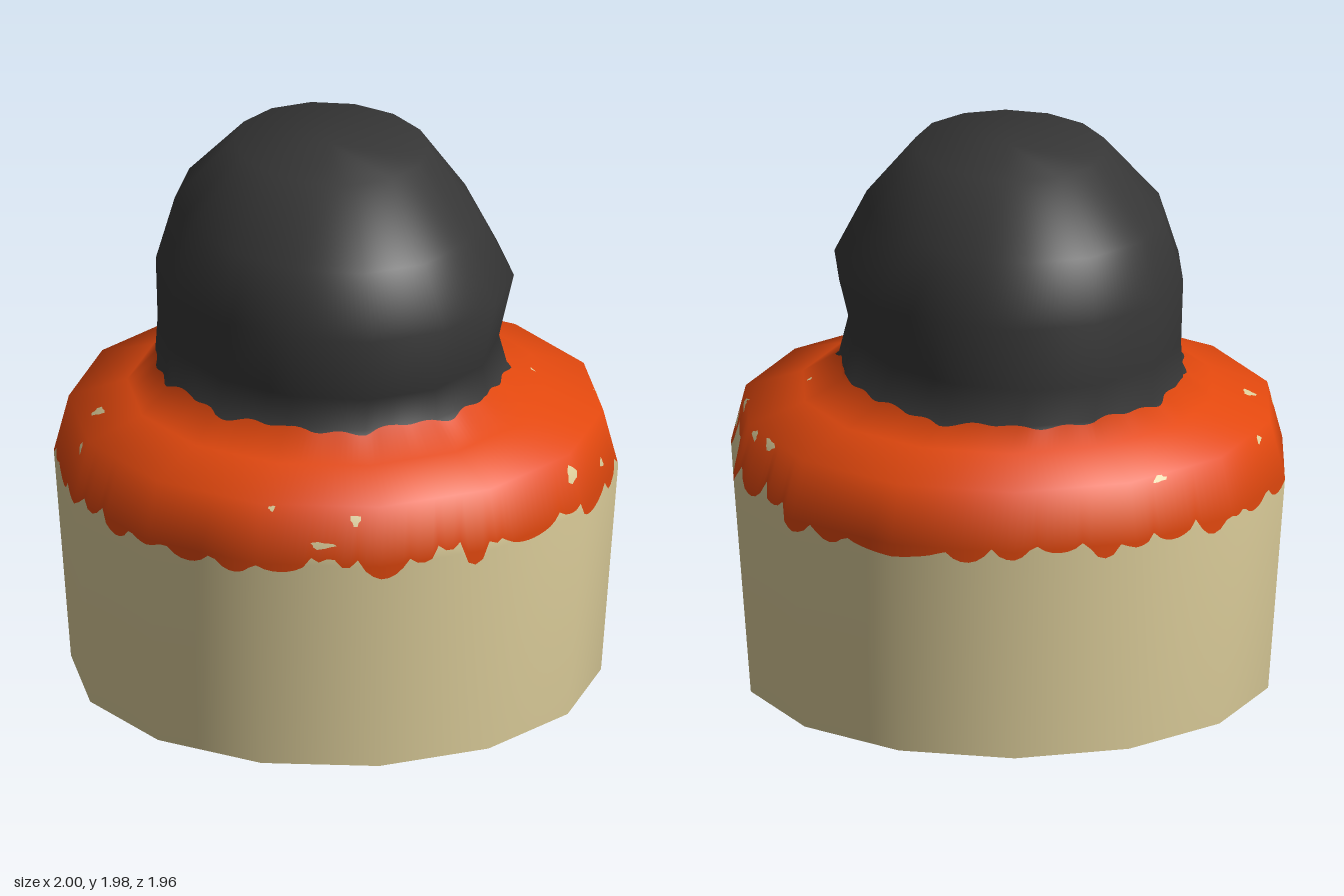
import * as THREE from 'three';

const SIDES = 14, SUB = 16, COLS = SIDES * SUB;
const TURN = 1.9 * Math.PI / 180;

// Cross-section rings: y, centre x, radius x, centre z, radius z
const RINGS = [
  [0, 0, 0.938, 0, 0.943],
  [0.79, 0, 1.0, 0, 1.0],
  [1.0, 0, 0.945, 0, 0.953],
  [1.07, 0, 0.74, 0, 0.74],
  [1.155, 0, 0.615, -0.04, 0.665],
  [1.29, -0.02, 0.585, -0.022, 0.69],
  [1.52, 0, 0.618, -0.01, 0.705],
  [1.75, -0.02, 0.522, -0.025, 0.63],
  [1.98, 0, 0.338, -0.04, 0.383],
];
const TOP = RINGS.length - 1;

// Icing drips: start angle from the front towards the left side, lowest y, highest y
const DRIPS = [
  [-72, 0.77, 0.8], [-62, 0.745, 0.81], [-51, 0.74, 0.81], [-41, 0.76, 0.8], [-30, 0.8, 0.85],
  [-25, 0.78, 0.85], [-19, 0.74, 0.81], [-9, 0.78, 0.83], [-2, 0.81, 0.84], [3, 0.74, 0.82],
  [9, 0.81, 0.83], [13, 0.77, 0.83], [30, 0.8, 0.83], [37, 0.74, 0.8], [53, 0.74, 0.83],
  [60, 0.79, 0.86], [68, 0.89, 0.92], [80, 0.78, 0.89], [90, 0.78, 0.87], [101, 0.8, 0.83],
  [109, 0.745, 0.81], [119, 0.74, 0.81], [128, 0.745, 0.78], [150, 0.74, 0.81],
];
for (let i = 0, a = 160; a < 285; i++) {
  DRIPS.push([a, 0.76 + 0.02 * Math.sin(i * 2.3), 0.82 + 0.02 * Math.sin(i * 1.7)]);
  a += 9 + 3 * Math.sin(i * 1.9);
}
DRIPS.push([288, 0.8, 0.8]);

// Bare spots in the icing: angle, y, half width in degrees, half height
const SPOTS = [
  [-20, 0.95, 1.1, 0.02], [-27, 0.86, 2.5, 0.012], [36, 0.93, 1.8, 0.03], [66, 0.89, 1.5, 0.03],
  [53, 0.86, 1, 0.015], [92, 0.98, 1.2, 0.018], [-104, 1.025, 1.8, 0.008], [99, 0.98, 2, 0.02],
  [-125, 0.97, 1, 0.015], [-161, 0.985, 1.8, 0.012], [72, 0.98, 2.2, 0.02], [-96, 0.95, 1, 0.02],
  [-38, 0.985, 0.7, 0.01], [73, 1.085, 0.8, 0.006],
];

// Coarse body, used for its smooth normals
function coarseBody() {
  const pos = [], index = [];
  for (const [y, cx, rx, cz, rz] of RINGS) {
    for (let i = 0; i < SIDES; i++) {
      const a = TURN + i / SIDES * Math.PI * 2;
      pos.push(cx + rx * Math.cos(a), y, cz + rz * Math.sin(a));
    }
  }
  pos.push(0, 1.98, -0.04);
  for (let i = 0; i < SIDES; i++) {
    const j = (i + 1) % SIDES;
    for (let r = 0; r < TOP; r++) {
      const p = r * SIDES, q = p + SIDES;
      index.push(p + i, q + i, p + j, p + j, q + i, q + j);
    }
    index.push(TOP * SIDES + i, (TOP + 1) * SIDES, TOP * SIDES + j);
  }
  const g = new THREE.BufferGeometry();
  g.setAttribute('position', new THREE.Float32BufferAttribute(pos, 3));
  g.setIndex(index);
  g.computeVertexNormals();
  return g;
}

export function createModel() {
  const group = new THREE.Group();
  const mat = (name, color) => new THREE.MeshStandardMaterial({ name, color });
  const cream = mat('cream', 0xdccd9a), orange = mat('orange', 0xe2480e), charcoal = mat('charcoal', 0x363636);
  const body = coarseBody();

  // Point and normal on the faceted body at column u and height y
  function sample(u, y) {
    u = ((u % SIDES) + SIDES) % SIDES;
    const i = Math.floor(u) % SIDES, j = (i + 1) % SIDES, fu = u - Math.floor(u);
    let r = 0;
    while (r < TOP - 1 && y > RINGS[r + 1][0]) r++;
    const fy = (y - RINGS[r][0]) / (RINGS[r + 1][0] - RINGS[r][0]);
    const mix = (attr) => {
      const at = (row, k) => new THREE.Vector3().fromBufferAttribute(attr, row * SIDES + k);
      return at(r, i).lerp(at(r, j), fu).lerp(at(r + 1, i).lerp(at(r + 1, j), fu), fy);
    };
    return { p: mix(body.attributes.position), n: mix(body.attributes.normal).normalize() };
  }

  function addMesh(name, samples, index, material) {
    const g = new THREE.BufferGeometry();
    g.setAttribute('position', new THREE.Float32BufferAttribute(samples.flatMap((s) => s.p.toArray()), 3));
    g.setAttribute('normal', new THREE.Float32BufferAttribute(samples.flatMap((s) => s.n.toArray()), 3));
    g.setIndex(index);
    const mesh = new THREE.Mesh(g, material);
    mesh.name = name;
    group.add(mesh);
  }

  // Band of the body between two wavy heights
  function band(name, lo, hi, material, capped) {
    const samples = [], index = [], rows = RINGS.length + 2;
    for (let c = 0; c <= COLS; c++) {
      const u = c / SUB, a = lo(u), b = hi(u);
      const ys = [a, ...RINGS.map((r) => Math.min(b, Math.max(a, r[0]))), b];
      for (const y of ys) samples.push(sample(u, y));
    }
    for (let c = 0; c < COLS; c++) {
      for (let r = 0; r < rows - 1; r++) {
        const p = c * rows + r, q = p + rows;
        const tris = [[p, p + 1, q], [q, p + 1, q + 1]];
        for (const t of tris) {
          const [A, B, C] = t.map((k) => samples[k].p);
          if (new THREE.Triangle(A, B, C).getArea() > 1e-9) index.push(...t);
        }
      }
    }
    if (capped) {
      const centre = samples.length;
      samples.push({ p: new THREE.Vector3(0, 1.98, -0.04), n: new THREE.Vector3(0, 1, 0) });
      for (let c = 0; c < COLS; c++) index.push(c * rows + rows - 1, centre, (c + 1) * rows + rows - 1);
    }
    addMesh(name, samples, index, material);
  }

  // Angle in degrees from the front converted to a column, and back
  const toColumn = (deg) => (90 - deg - 1.9) / 360 * SIDES;
  const toDegrees = (u) => 90 - 1.9 - u / SIDES * 360;

  const dripEdge = (u) => {
    const d = ((toDegrees(u) + 72) % 360 + 360) % 360 - 72;
    let k = 0;
    while (k < DRIPS.length - 2 && d >= DRIPS[k + 1][0]) k++;
    const [start, low, high] = DRIPS[k];
    const t = Math.min(1, Math.max(0, (d - start) / (DRIPS[k + 1][0] - start)));
    return high - (high - low) * Math.sqrt(Math.max(0, Math.sin(Math.PI * t)));
  };
  const seam = (u) => {
    const t = u / SIDES * Math.PI * 2;
    return 1.152 + 0.007 * Math.sin(9 * t) + 0.006 * Math.sin(23 * t + 1) + 0.02 * Math.max(0, Math.cos(t)) ** 12;
  };

  band('cup', () => 0, dripEdge, cream);
  band('icing', dripEdge, seam, orange);
  band('dome', seam, () => 1.98, charcoal, true);

  // Flat underside
  const base = new THREE.Shape(Array.from({ length: SIDES }, (_, i) => {
    const p = sample(i, 0).p;
    return new THREE.Vector2(p.x, p.z);
  }));
  const underside = new THREE.Mesh(new THREE.ShapeGeometry(base).rotateX(Math.PI / 2), cream);
  underside.name = 'underside';
  group.add(underside);

  // Thin irregular spots lying on the icing
  SPOTS.forEach(([deg, y, w, h], s) => {
    const samples = [sample(toColumn(deg), y)], index = [], n = 10;
    for (let i = 0; i < n; i++) {
      const t = i / n * Math.PI * 2, k = 1 + 0.3 * Math.sin(3 * t + s);
      samples.push(sample(toColumn(deg + w * k * Math.cos(t)), y + h * k * Math.sin(t)));
      index.push(0, i + 1, (i + 1) % n + 1);
    }
    samples.forEach((q) => q.p.addScaledVector(q.n, 0.004));
    addMesh('bareSpot', samples, index, cream);
  });
  return group;
}
